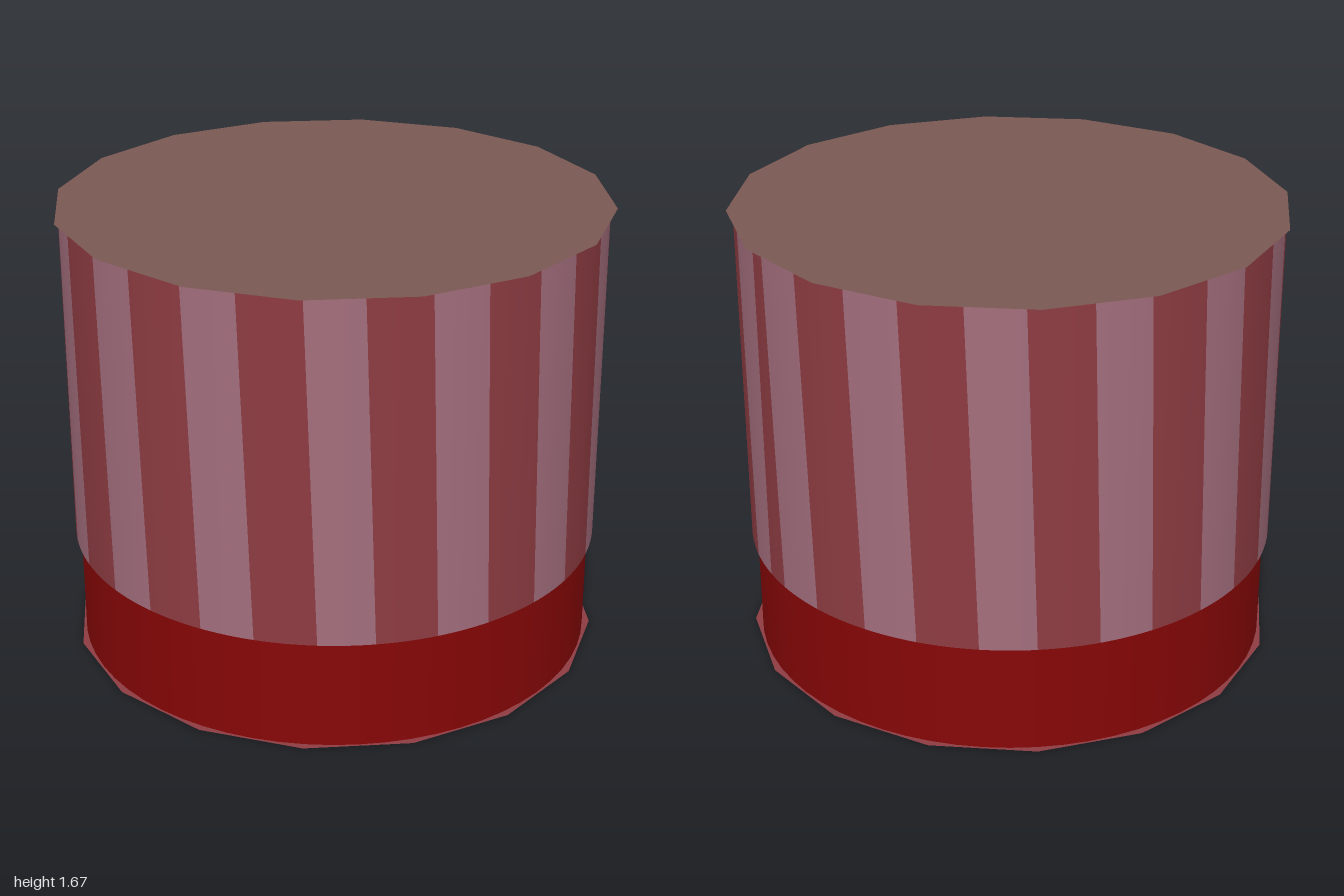
import * as THREE from 'three';

const deg = THREE.MathUtils.degToRad;

function paint(name, color, side = THREE.FrontSide) {
  const m = new THREE.MeshStandardMaterial({ color, side });
  m.name = name;
  return m;
}

export function createModel() {
  const pink = paint('dusty pink', 0xa36e7d);
  const rose = paint('faded red', 0x8e3c42, THREE.DoubleSide);
  const red = paint('deep red', 0x870606);
  const brown = paint('mauve brown', 0x7a5852, THREE.DoubleSide);

  const group = new THREE.Group();
  const add = (name, geometry, material, y = 0) => {
    const mesh = new THREE.Mesh(geometry, material);
    mesh.name = name;
    mesh.position.y = y;
    group.add(mesh);
    return mesh;
  };

  const bottom = 0.415, top = 1.67, radius = 0.976, slant = 2.4;

  // One slightly slanted stripe of the drum wall; angles in degrees, 0 faces +z
  function stripe(a, b) {
    const g = new THREE.PlaneGeometry(1, 1, 8, 8);
    const p = g.attributes.position, n = g.attributes.normal;
    for (let i = 0; i < p.count; i++) {
      const t = p.getY(i) + 0.5;
      const raw = a + (b - a) * (p.getX(i) + 0.5) + slant * (1 - t);
      const w = deg(THREE.MathUtils.clamp(raw, -180, 180));
      p.setXYZ(i, radius * Math.sin(w), bottom + (top - bottom) * t, radius * Math.cos(w));
      n.setXYZ(i, Math.sin(w), 0, Math.cos(w));
    }
    return g;
  }

  // Striped wall, with the seam at the back
  const pitch = 24.6, width = 11.7, phase = -3.7;
  for (let k = -8; k <= 7; k++) {
    const a = phase + pitch * k;
    if (a < 180 && a + width > -180 - slant) add('pinkStripe', stripe(a, a + width), pink);
    if (a + width < 180 && a + pitch > -180 - slant) add('redStripe', stripe(a + width, a + pitch), rose);
  }

  // Lip under the striped wall
  add('wallLip', new THREE.RingGeometry(0.95, radius, 64).rotateX(Math.PI / 2), rose, bottom);

  // Smooth base band
  add('baseBand', new THREE.CylinderGeometry(0.957, 0.957, 0.41, 64, 1, true), red, 0.21);

  // Sixteen-sided lid and floor, wider than the walls
  add('lid', new THREE.CircleGeometry(1, 16).rotateX(-Math.PI / 2), brown, top);
  add('floor', new THREE.CircleGeometry(0.984, 16).rotateX(Math.PI / 2), rose, 0.006);

  // Rectangular plate under the floor
  add('floorPlate', new THREE.BoxGeometry(0.56, 0.005, 0.21), brown, 0.0025).position.z = -0.775;

  // Curved plate under the floor
  const arc = new THREE.Shape();
  arc.absellipse(0, 0, 0.26, 0.37, -Math.PI / 2, Math.PI / 2, false);
  arc.absellipse(0, 0, 0.21, 0.315, Math.PI / 2, -Math.PI / 2, true);
  const arcGeometry = new THREE.ExtrudeGeometry(arc, { depth: 0.005, bevelEnabled: false, curveSegments: 24 });
  add('floorArc', arcGeometry.rotateX(-Math.PI / 2), brown).position.x = -0.86;

  return group;
}
